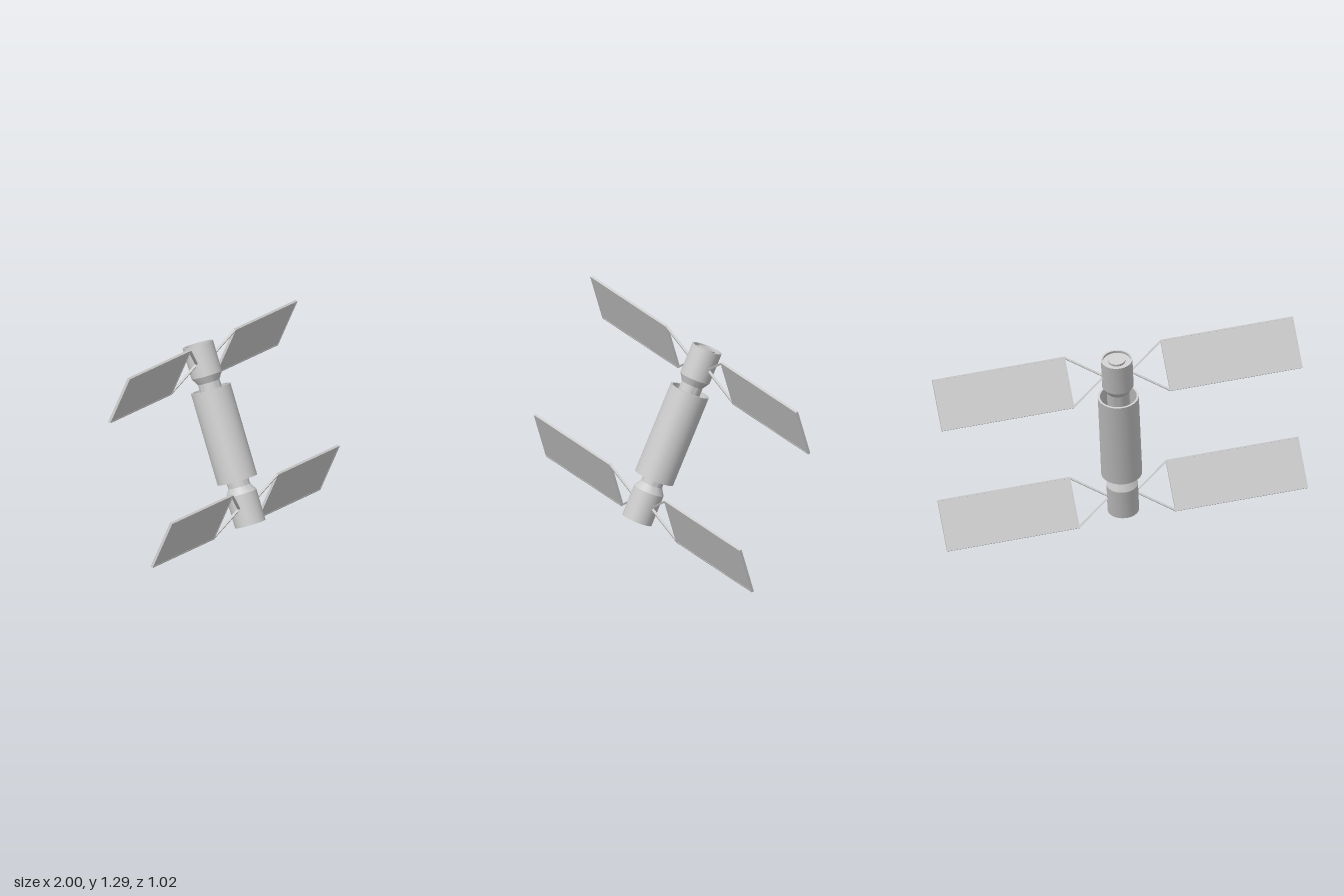
import * as THREE from 'three';
import { toCreasedNormals } from 'three/addons/utils/BufferGeometryUtils.js';

const grey = new THREE.MeshStandardMaterial({ color: 0xcccccc });

function addMesh(parent, name, geometry, x = 0, y = 0, z = 0) {
  const mesh = new THREE.Mesh(geometry, grey);
  mesh.name = name;
  mesh.position.set(x, y, z);
  parent.add(mesh);
  return mesh;
}

function lathe(profile) {
  const points = profile.map(([r, y]) => new THREE.Vector2(r, y));
  return toCreasedNormals(new THREE.LatheGeometry(points, 40), 0.45);
}

// One solar wing reaching out along local +x, lying in the local xy plane
function createWing(name) {
  const wing = new THREE.Group();
  wing.name = name;
  const inner = 0.271, length = 0.75, half = 0.144, depth = 0.015, rail = 0.008;
  const mid = inner + length / 2;

  addMesh(wing, 'solarPanel', new THREE.BoxGeometry(length - rail, 2 * half - rail, depth - 0.003), mid);

  // Slim frame around the panel
  for (const s of [-1, 1]) {
    addMesh(wing, 'frameLongRail', new THREE.BoxGeometry(length, rail, depth), mid, s * (half - rail / 2));
    addMesh(wing, 'frameEndRail', new THREE.BoxGeometry(rail, 2 * half - 2 * rail, depth),
      mid + s * (length - rail) / 2);
  }

  // V-shaped struts from the hull to the inner corners
  const root = 0.075, tipY = half - 0.005;
  const run = inner + 0.003 - root;
  for (const s of [-1, 1]) {
    const strut = addMesh(wing, 'strut', new THREE.BoxGeometry(Math.hypot(run, tipY), 0.01, depth - 0.001),
      root + run / 2, s * tipY / 2);
    strut.rotation.z = s * Math.atan2(tipY, run);
  }
  return wing;
}

export function createModel() {
  const model = new THREE.Group();
  model.name = 'satellite';

  // The whole craft leans back
  const craft = new THREE.Group();
  craft.name = 'craft';
  craft.position.y = 0.648;
  craft.rotation.x = -0.4;
  model.add(craft);

  // Open central sleeve
  addMesh(craft, 'sleeve', lathe([
    [0.101, -0.263], [0.113, -0.263], [0.113, 0.263], [0.101, 0.263], [0.101, -0.263],
  ]));

  // End modules: neck, shoulder, hull and a recessed cap with a central disc
  const moduleGeometry = lathe([
    [0.062, 0], [0.062, 0.3], [0.087, 0.34], [0.087, 0.517], [0.077, 0.517],
    [0.077, 0.503], [0.047, 0.503], [0.047, 0.515], [0, 0.515],
  ]);
  addMesh(craft, 'upperModule', moduleGeometry);
  addMesh(craft, 'lowerModule', moduleGeometry).rotation.z = Math.PI;

  // Two pairs of wings, each pair turned about the hull and pitched as one plane
  for (const [label, y] of [['upper', 0.416], ['lower', -0.416]]) {
    const pair = new THREE.Group();
    pair.name = label + 'WingPair';
    pair.position.y = y;
    pair.rotation.set(0.75, 0.323, 0, 'YXZ');
    const left = createWing('leftWing');
    const right = createWing('rightWing');
    right.rotation.z = Math.PI;
    pair.add(left, right);
    craft.add(pair);
  }

  return model;
}
